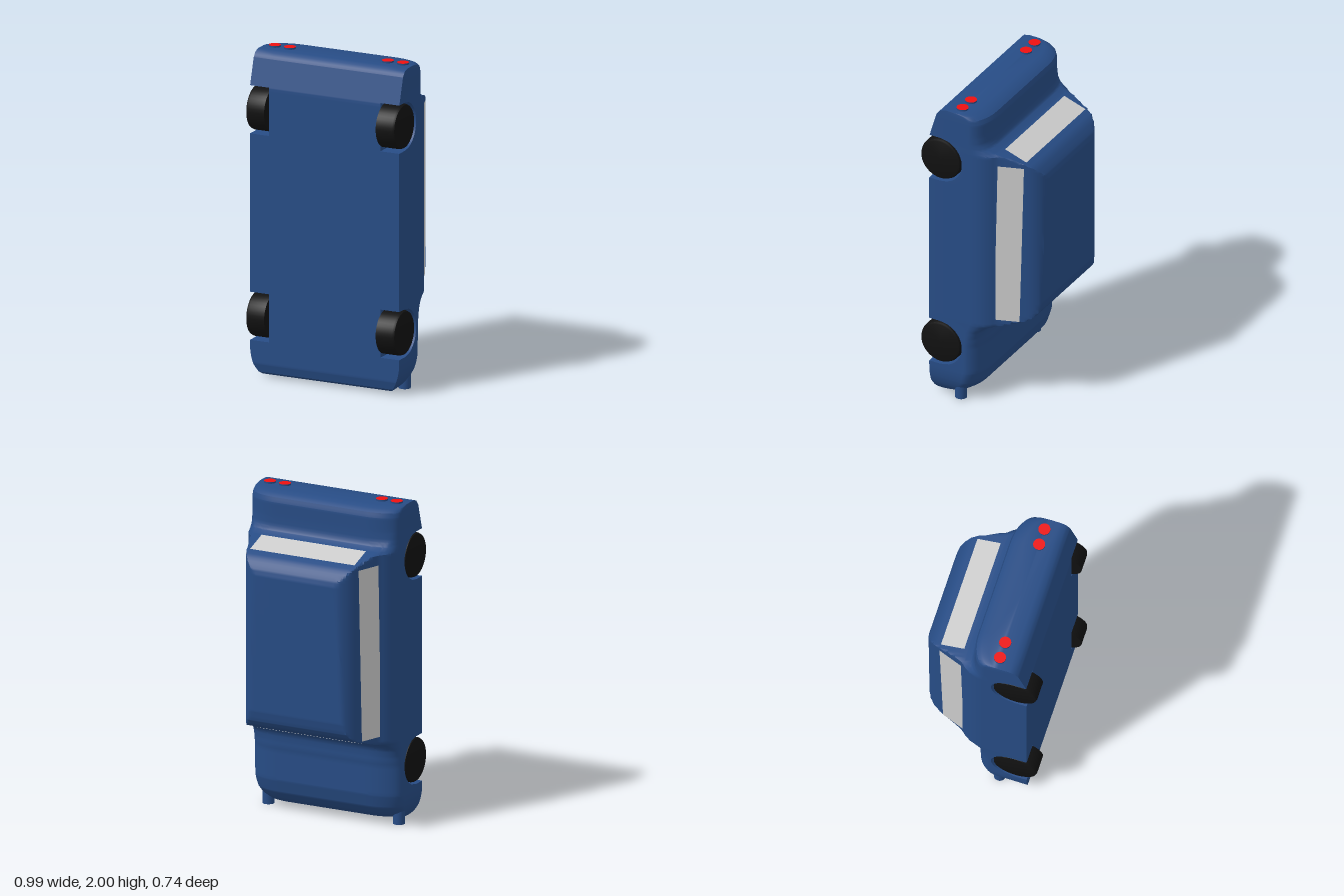
import * as THREE from 'three';
import { toCreasedNormals } from 'three/addons/utils/BufferGeometryUtils.js';

const paint = new THREE.MeshStandardMaterial({ color: 0x274c85 });
const rubber = new THREE.MeshStandardMaterial({ color: 0x111111 });
const red = new THREE.MeshStandardMaterial({ color: 0xee1111 });
const yellow = new THREE.MeshStandardMaterial({ color: 0xe0cc18 });
const glass = new THREE.MeshStandardMaterial({ color: 0xcccccc, side: THREE.DoubleSide });

// The car stands on its nose: y runs from nose to tail, -z is the roof side.
const AXLES = [0.37, 1.64], WHEEL_Z = 0.236, ARCH = 0.148, HALF = 0.495;

// Roof line and underside as [y, z]; cabin outline across the car as [x, z]
const ROOF = [[0.008, 0.2], [0.018, 0.15], [0.04, 0.08], [0.075, 0.035], [0.12, 0.002], [0.2, -0.02], [0.38, -0.022],
  [0.44, -0.032], [0.49, -0.052], [0.525, -0.085], [0.55, -0.125], [0.6, -0.27], [0.625, -0.315], [0.66, -0.34], [0.72, -0.353],
  [1.57, -0.372], [1.61, -0.362], [1.645, -0.338], [1.67, -0.31], [1.69, -0.27], [1.738, -0.125], [1.76, -0.09],
  [1.79, -0.07], [1.85, -0.058], [1.93, -0.055], [1.96, -0.045], [1.98, -0.015], [1.99, 0.03]];
const FLOOR = [[0.008, 0.25], [0.015, 0.275], [0.03, 0.295], [0.08, 0.31], [1.78, 0.31], [1.95, 0.26], [1.98, 0.235], [1.99, 0.2]];
const CABIN = [[0, -0.375], [0.26, -0.375], [0.3, -0.362], [0.33, -0.34], [0.355, -0.31], [0.373, -0.27],
  [0.424, -0.125], [0.435, -0.108], [0.455, -0.085], [0.477, -0.05], [0.49, -0.01], [0.495, 0.03]];

function sample(table, t) {
  const i = Math.max(1, table.findIndex(p => p[0] >= t));
  if (t >= table[table.length - 1][0]) return table[table.length - 1][1];
  const [a, b] = [table[i - 1], table[i]];
  return THREE.MathUtils.lerp(a[1], b[1], THREE.MathUtils.clamp((t - a[0]) / (b[0] - a[0]), 0, 1));
}

// Height of the upper skin at (x, y): rounded lower body blended into the cabin
function skin(x, y) {
  const roof = sample(ROOF, y), belt = -0.02 - 0.018 * y;
  const k = Math.max(0, (x - 0.3) / (HALF - 0.3));
  const lower = Math.max(roof, belt) + 0.1 * (1 - Math.sqrt(Math.max(0, 1 - k * k)));
  const cabin = Math.min(lower, Math.max(roof, sample(CABIN, x)));
  const t = THREE.MathUtils.clamp((belt - roof) / 0.1, 0, 1);
  return THREE.MathUtils.lerp(lower, cabin, t);
}

const COLUMNS = [0.495, 0.493, 0.488, 0.477, 0.466, 0.455, 0.445, 0.435, 0.424, 0.412, 0.4, 0.387, 0.373, 0.364, 0.355,
  0.343, 0.33, 0.315, 0.3, 0.28, 0.26, 0.15, 0];

// Closed cross-section at y, with a notch in the lower corners at each wheel
function section(y, inArch) {
  const nose = Math.max(0, (0.2 - y) / 0.2);
  const scale = 1 - 0.22 * (1 - Math.sqrt(1 - nose * nose));
  const floor = sample(FLOOR, y);
  let arch = floor;
  if (inArch !== null) arch = WHEEL_Z - Math.sqrt(Math.max(0, ARCH ** 2 - (y - AXLES[inArch]) ** 2));
  const half = [[0, floor], [0.37 * scale, floor], [0.37 * scale, arch], [HALF * scale, arch]];
  for (const x of COLUMNS) half.push([x * scale, Math.min(skin(x, y), arch)]);
  const mirrored = half.slice(1, -1).reverse().map(([x, z]) => [-x, z]);
  return [...half, ...mirrored].map(([x, z]) => [x, y, z]);
}

function bodyGeometry() {
  // Stations along the car; arch limits appear twice to give upright notch walls
  const ys = new Set([...ROOF, ...FLOOR].map(p => p[0]));
  for (let y = 0.06; y < 1.97; y += y > 0.72 && y < 1.45 ? 0.08 : 0.016) ys.add(y);
  let stations = [...ys].map(y => {
    const i = AXLES.findIndex(a => Math.abs(y - a) < ARCH);
    return { y, arch: i < 0 ? null : i, order: 0 };
  });
  AXLES.forEach((a, i) => stations.push(
    { y: a - ARCH, arch: null, order: -1 }, { y: a - ARCH, arch: i, order: 0 },
    { y: a + ARCH, arch: i, order: 0 }, { y: a + ARCH, arch: null, order: 1 }));
  stations.sort((p, q) => p.y - q.y || p.order - q.order);
  const rings = stations.map(s => section(s.y, s.arch));
  const n = rings[0].length, pos = rings.flat(2), index = [];
  for (let i = 0; i < rings.length - 1; i++) {
    for (let j = 0; j < n; j++) {
      const a = i * n + j, b = i * n + (j + 1) % n;
      index.push(a, b, a + n, b, b + n, a + n);
    }
  }
  // Nose and tail caps
  const last = (rings.length - 1) * n, c = rings.length * n;
  pos.push(0, stations[0].y, 0.23, 0, stations[stations.length - 1].y, 0.12);
  for (let j = 0; j < n; j++) {
    const k = (j + 1) % n;
    index.push(c, k, j, c + 1, last + j, last + k);
  }
  const g = new THREE.BufferGeometry();
  g.setAttribute('position', new THREE.Float32BufferAttribute(pos, 3));
  g.setIndex(index);
  return toCreasedNormals(g, 0.6);
}

// Flat pane through four corners
function pane(corners) {
  const g = new THREE.BufferGeometry();
  g.setAttribute('position', new THREE.Float32BufferAttribute(corners.flat(), 3));
  g.setIndex([0, 1, 2, 0, 2, 3]);
  g.computeVertexNormals();
  return g;
}

export function createModel() {
  const car = new THREE.Group();
  car.name = 'car';
  const add = (name, geometry, material, x = 0, y = 0, z = 0) => {
    const mesh = new THREE.Mesh(geometry, material);
    mesh.name = name;
    mesh.position.set(x, y, z);
    car.add(mesh);
    return mesh;
  };

  add('body', bodyGeometry(), paint);

  // Windscreen and rear window
  const wide = (yLow, yHigh) => pane([[-0.35, yLow, -0.125], [0.35, yLow, -0.125], [0.35, yHigh, -0.27], [-0.35, yHigh, -0.27]]);
  add('windscreen', wide(0.545, 0.595), glass);
  add('rearWindow', wide(1.743, 1.695), glass);

  const tyre = toCreasedNormals(new THREE.LatheGeometry([[0, -0.0625], [0.136, -0.0625], [0.136, 0.045], [0.131, 0.058],
    [0.12, 0.0625], [0, 0.0625]].map(p => new THREE.Vector2(...p)), 40), 0.6);
  const headlight = new THREE.CylinderGeometry(0.036, 0.036, 0.16, 28);
  const tailLight = new THREE.CylinderGeometry(0.036, 0.036, 0.02, 32);

  for (const side of [1, -1]) {
    const label = side > 0 ? 'left' : 'right';
    // Side window lying on the sloped cabin wall
    const edge = (y, z) => [side * (0.429 + 0.352 * (z + 0.125)), y, z];
    add(label + 'SideWindow', pane([edge(0.6, -0.1), edge(1.665, -0.12), edge(1.665, -0.27), edge(0.6, -0.245)]), glass);
    // Wheels
    AXLES.forEach((y, i) => {
      add(label + (i ? 'RearWheel' : 'FrontWheel'), tyre, rubber, side * 0.4325, y, WHEEL_Z).rotation.z = -side * Math.PI / 2;
    });
    // Lamps
    add(label + 'Headlight', headlight, [paint, paint, yellow], side * 0.438, 0.08, 0.125);
    for (const x of [0.425, 0.325]) add(label + 'TailLight', tailLight, [paint, red, red], side * x, 1.99, 0.122);
  }
  return car;
}
